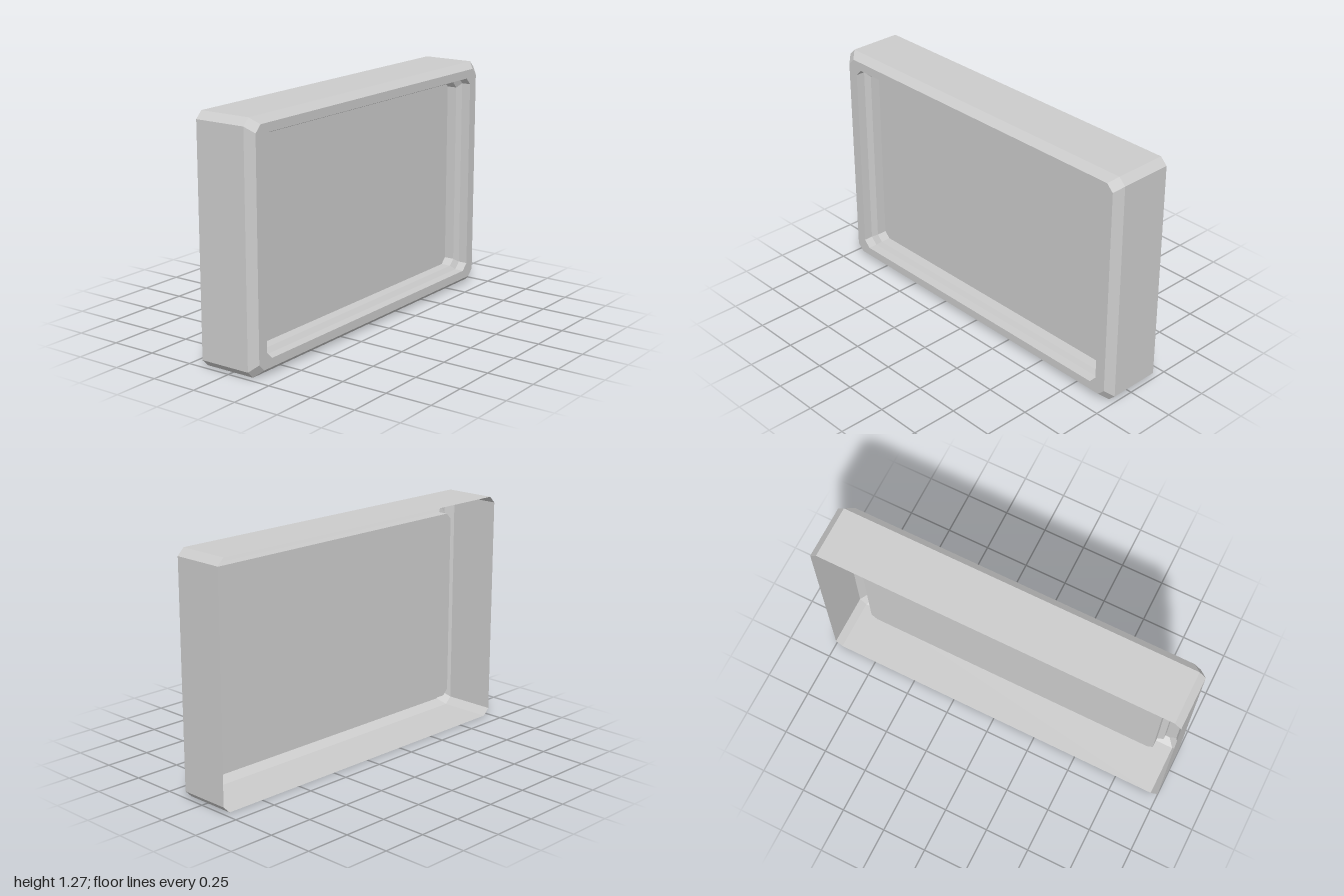
import * as THREE from 'three';

const H = 1.27;

// Rectangle with clipped corners, anticlockwise seen from the front
function ring(inset, insetY, cut, z) {
  const x = 1 - inset, y = H / 2 - insetY, cy = H / 2;
  return [
    [x - cut, -y], [x, -y + cut], [x, y - cut], [x - cut, y],
    [-x + cut, y], [-x, y - cut], [-x, -y + cut], [-x + cut, -y],
  ].map(([px, py]) => new THREE.Vector3(px, py + cy, z));
}

// Flat-shaded band joining consecutive rings
function loft(rings) {
  const pts = [];
  for (let r = 0; r < rings.length - 1; r++) {
    const a = rings[r], b = rings[r + 1];
    for (let i = 0; i < a.length; i++) {
      const j = (i + 1) % a.length;
      pts.push(a[i], a[j], b[j], a[i], b[j], b[i]);
    }
  }
  const geometry = new THREE.BufferGeometry().setFromPoints(pts);
  geometry.computeVertexNormals();
  return geometry;
}

export function createModel() {
  const group = new THREE.Group();
  group.name = 'shallowTray';
  const grey = new THREE.MeshStandardMaterial({
    name: 'lightGrey', color: 0xcccccc, side: THREE.DoubleSide,
  });
  const add = (name, geometry) => {
    const mesh = new THREE.Mesh(geometry, grey);
    mesh.name = name;
    group.add(mesh);
    return mesh;
  };

  const back = ring(0, 0, 0.037, -0.163);
  const side = ring(0, 0, 0.037, 0.123);
  const frontOuter = ring(0.038, 0.034, 0.037, 0.163);
  const frontInner = ring(0.097, 0.08, 0.037, 0.163);
  const ledgeOuter = ring(0.097, 0.08, 0.037, 0.112);
  const ledgeInner = ring(0.13, 0.105, 0.033, 0.094);
  const floor = ring(0.13, 0.105, 0.033, 0.038);

  // Open-backed outer shell
  add('sideWalls', loft([back, side]));
  add('frontBevel', loft([side, frontOuter]));
  add('frontFrame', loft([frontOuter, frontInner]));

  // Stepped recess behind the frame
  add('recessWalls', loft([frontInner, ledgeOuter, ledgeInner, floor]));
  const panelShape = new THREE.Shape(floor.map((p) => new THREE.Vector2(p.x, p.y)));
  add('recessedPanel', new THREE.ShapeGeometry(panelShape)).position.z = floor[0].z;

  return group;
}
